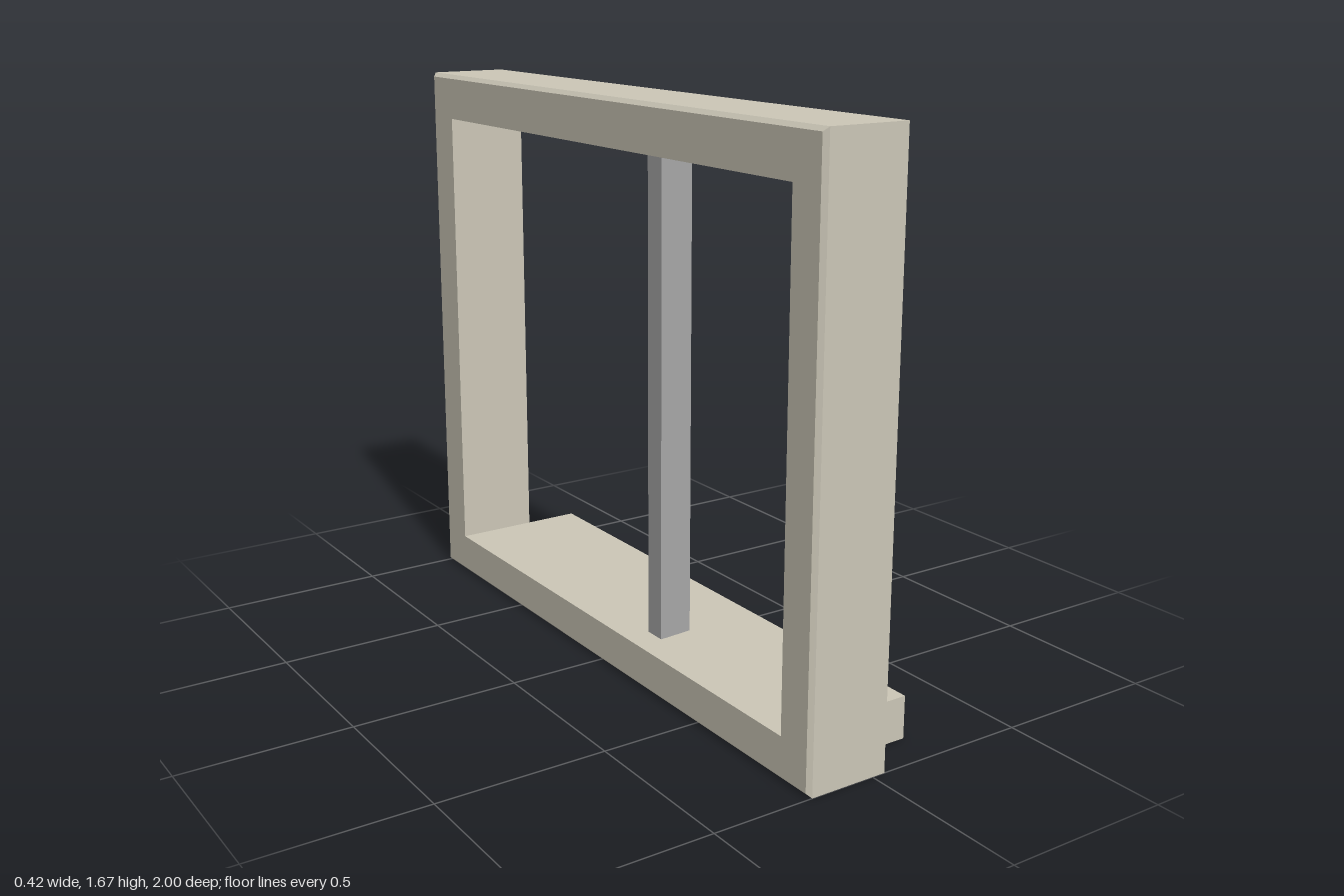
import * as THREE from 'three';
import { ConvexGeometry } from 'three/addons/geometries/ConvexGeometry.js';

const H = 1.675;              // overall height
const FRONT = 0.04;           // outer face of the frame
const BACK = -0.21;           // inner face of the frame
const BEVEL = 0.012;
const OPEN = { z0: -0.87, z1: 0.883, y0: 0.125, y1: 1.537 };

// Four corners of a rectangle standing at a given x
const ring = (x, z0, z1, y0, y1) => [[x, y0, z0], [x, y0, z1], [x, y1, z1], [x, y1, z0]];

// Joins rectangular rings one after another into a closed, flat-faced band
function loftRings(rings) {
  const pos = [];
  rings.forEach((a, i) => {
    const b = rings[(i + 1) % rings.length];
    for (let k = 0; k < 4; k++) {
      const n = (k + 1) % 4;
      pos.push(...a[k], ...a[n], ...b[n], ...a[k], ...b[n], ...b[k]);
    }
  });
  const geo = new THREE.BufferGeometry();
  geo.setAttribute('position', new THREE.Float32BufferAttribute(pos, 3));
  geo.computeVertexNormals();
  return geo;
}

export function createModel() {
  const model = new THREE.Group();
  model.name = 'windowFrame';
  const stone = new THREE.MeshStandardMaterial({ color: 0xcdc8b8 });
  stone.name = 'paleStone';
  const metal = new THREE.MeshStandardMaterial({ color: 0xa8a8a8 });
  metal.name = 'greyMetal';

  const add = (name, geo, mat) => {
    const mesh = new THREE.Mesh(geo, mat);
    mesh.name = name;
    model.add(mesh);
    return mesh;
  };

  // Surround with a fine bevel around its back outer edge
  const { z0, z1, y0, y1 } = OPEN;
  add('surround', loftRings([
    ring(FRONT, -1, 1, 0, H),
    ring(BACK + BEVEL, -1, 1, 0, H),
    ring(BACK, -1 + BEVEL, 1 - BEVEL, BEVEL, H - BEVEL),
    ring(BACK, z0, z1, y0, y1),
    ring(FRONT, z0, z1, y0, y1),
  ]), stone);

  // Projecting sill
  const depth = 0.21 - FRONT;
  add('sill', new THREE.BoxGeometry(depth, y0, z1 - z0), stone)
    .position.set(FRONT + depth / 2, y0 / 2, (z0 + z1) / 2);

  // Shallow wedges where the sill ends meet the surround
  for (const [name, inner, outer] of [['leftWedge', z1, 1], ['rightWedge', z0, -1]]) {
    add(name, new ConvexGeometry([
      new THREE.Vector3(FRONT, 0, inner),
      new THREE.Vector3(FRONT, 0, outer),
      new THREE.Vector3(FRONT, y0, inner),
      new THREE.Vector3(FRONT + 0.01, 0, inner),
    ]), stone);
  }

  // Upright bar, slightly narrower towards the outside
  const bar = new THREE.BoxGeometry(0.106, y1 - y0, 0.067);
  const p = bar.attributes.position;
  for (let i = 0; i < p.count; i++) {
    if (p.getX(i) > 0 && p.getZ(i) > 0) p.setZ(i, p.getZ(i) - 0.008);
  }
  bar.computeVertexNormals();
  add('uprightBar', bar, metal).position.set(-0.077, (y0 + y1) / 2, 0.181);

  return model;
}
